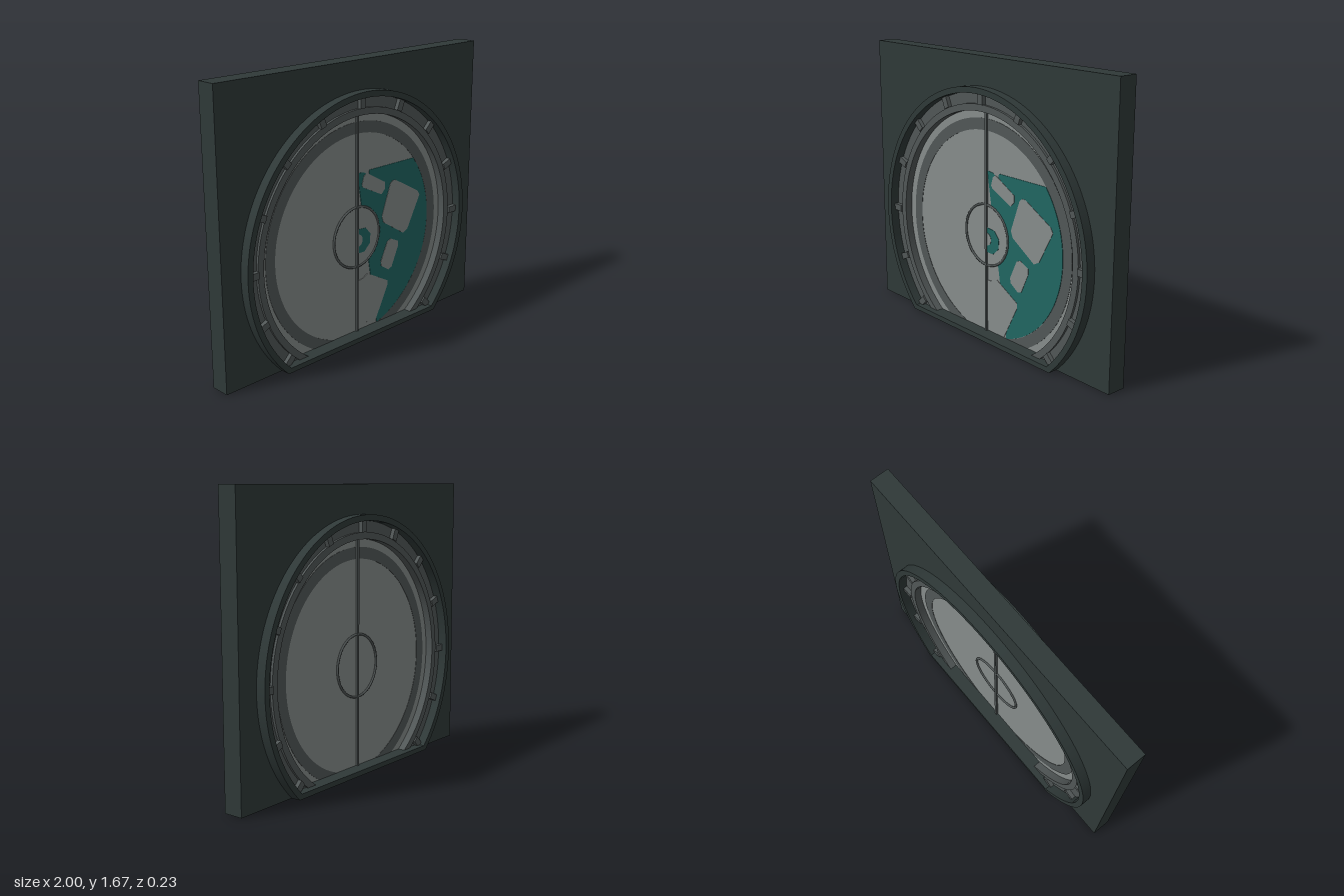
import * as THREE from 'three';
import { toCreasedNormals } from 'three/addons/utils/BufferGeometryUtils.js';

const CY = 0.625;    // centre height of the round door
const FLOOR = 0.03;  // top of the sill
const mat = (name, color) => Object.assign(new THREE.MeshStandardMaterial({ color }), { name });

// Angle at which a circle of radius r meets height y
const cut = (r, y) => Math.asin((y - CY) / r);

// Disc with a flat bottom at height y
function clippedDisc(r, y, Type = THREE.Shape) {
  const a = cut(r, y);
  return new Type().absarc(0, CY, r, a, Math.PI - a, false).closePath();
}

// Horseshoe band between two radii, open at the sill
function horseshoe(rOut, rIn) {
  const a = cut(rOut, FLOOR), b = cut(rIn, FLOOR);
  return new THREE.Shape()
    .absarc(0, CY, rOut, a, Math.PI - a, false)
    .absarc(0, CY, rIn, Math.PI - b, b, true)
    .closePath();
}

const polygon = (pts) => new THREE.Shape(pts.map(([x, y]) => new THREE.Vector2(x, y)));

export function createModel() {
  const model = new THREE.Group();
  model.name = 'roundDoorInWall';
  const dark = mat('darkWall', 0x2f3938);
  const mid = mat('midGrey', 0x515757);
  const light = mat('lightGrey', 0x868c8b);
  const teal = mat('teal', 0x206662);

  const add = (name, geo, material, parent = model) => {
    const mesh = new THREE.Mesh(geo, material);
    mesh.name = name;
    parent.add(mesh);
    return mesh;
  };
  // Extrude a shape from z0 to z1
  const slab = (name, shape, z0, z1, material, parent) => {
    const geo = new THREE.ExtrudeGeometry(shape, { depth: z1 - z0, bevelEnabled: false, curveSegments: 64 });
    geo.translate(0, 0, z0);
    return add(name, toCreasedNormals(geo, 0.5), material, parent);
  };

  // Wall with a round opening that reaches the ground
  const a = cut(0.86, 0);
  const wall = new THREE.Shape();
  wall.moveTo(1, 0);
  wall.lineTo(1, 1.67);
  wall.lineTo(-1, 1.67);
  wall.lineTo(-1, 0);
  wall.absarc(0, CY, 0.86, Math.PI - a, a, true);
  wall.closePath();
  slab('wall', wall, -0.0575, 0.0575, dark);

  // Protruding frame with sill
  const frame = clippedDisc(0.875, 0);
  frame.holes.push(clippedDisc(0.84, FLOOR, THREE.Path));
  slab('frame', frame, -0.115, 0.115, dark);

  // Stepped grey rims and the door leaf
  slab('outerRim', horseshoe(0.842, 0.77), -0.06, 0.06, mid);
  slab('innerRim', horseshoe(0.775, 0.735), -0.075, 0.075, mid);
  slab('doorLeaf', clippedDisc(0.74, FLOOR), -0.03, 0.03, light);

  // Locking teeth around the rim
  const teeth = new THREE.Group();
  teeth.name = 'teeth';
  model.add(teeth);
  for (let i = -6; i <= 6; i++) {
    const t = i * Math.PI / 8;
    const tooth = add('tooth', new THREE.BoxGeometry(0.04, 0.07, 0.17), mid, teeth);
    tooth.position.set(Math.sin(t) * 0.81, CY + Math.cos(t) * 0.81, 0);
    tooth.rotation.z = -t;
  }

  // Band, seam and hub ring on both faces
  for (const s of [1, -1]) {
    const face = new THREE.Group();
    face.name = s > 0 ? 'frontFace' : 'backFace';
    face.rotation.y = s > 0 ? 0 : Math.PI;
    model.add(face);
    slab('darkBand', horseshoe(0.69, 0.622), 0.03, 0.032, mid, face);
    add('seam', new THREE.BoxGeometry(0.016, 1.33, 0.016), mid, face).position.set(0, 0.695, 0.034);
    add('hubRing', new THREE.TorusGeometry(0.184, 0.007, 8, 64), mid, face).position.set(0, CY + 0.003, 0.034);
  }

  // Painted teal field on the front, right half below a level edge
  const r = 0.62, top = Math.asin((1.015 - CY) / r);
  const field = new THREE.Shape();
  field.moveTo(0.005, FLOOR);
  field.absarc(0, CY, r, cut(r, FLOOR), top, false);
  field.lineTo(0.105, 1.015);
  field.lineTo(0.1, 0.985);
  field.lineTo(0.055, 0.985);
  field.lineTo(0.055, 1.01);
  field.lineTo(0.005, 1.015);
  field.closePath();
  slab('tealField', field, 0.03, 0.033, teal);

  // Light patches inside the teal field
  const patches = [
    [[0.04, 0.935], [0.055, 0.985], [0.075, 1.0], [0.1, 0.99], [0.235, 0.915], [0.235, 0.875], [0.205, 0.845], [0.05, 0.92]],
    [[0.28, 0.895], [0.3, 0.91], [0.325, 0.91], [0.525, 0.8], [0.545, 0.77], [0.44, 0.575], [0.4, 0.555], [0.225, 0.665], [0.21, 0.705]],
    [[0.26, 0.535], [0.29, 0.545], [0.355, 0.515], [0.355, 0.48], [0.3, 0.36], [0.27, 0.35], [0.21, 0.39], [0.205, 0.42]],
    [[0.005, 0.35], [0.05, 0.355], [0.09, 0.375], [0.265, 0.28], [0.265, 0.25], [0.155, 0.035], [0.12, 0.035], [0.045, 0.09], [0.005, 0.095]],
  ];
  for (const p of patches) slab('lightPatch', polygon(p), 0.031, 0.035, light);

  // Hub plate with its small teal half ring
  const half = (rad, y) => new THREE.Shape().absarc(0.005, y, rad, -Math.PI / 2, Math.PI / 2, false).closePath();
  slab('hubPlate', half(0.182, CY + 0.003), 0.031, 0.035, light);
  slab('tealHubMark', polygon([[0.005, 0.525], [0.06, 0.525], [0.105, 0.565], [0.11, 0.625], [0.07, 0.67], [0.005, 0.675]]), 0.033, 0.037, teal);
  slab('hubMarkCentre', half(0.038, 0.605), 0.034, 0.039, light);

  return model;
}
